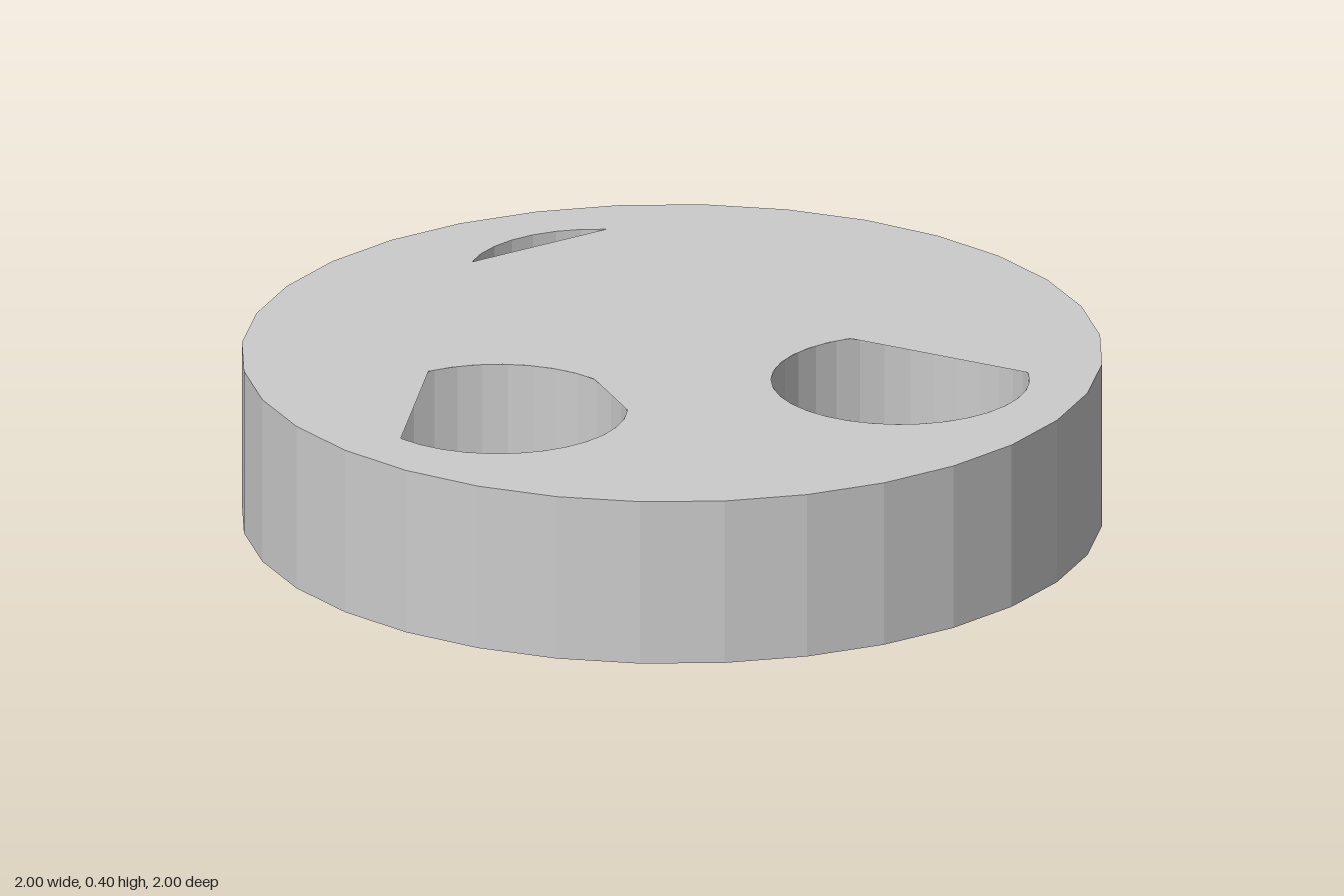
import * as THREE from 'three';

const RADIUS = 1, HEIGHT = 0.4, HOLE_RADIUS = 0.3, SIDES = 32;

// Three round bores. Each opening is a list of arcs (degrees from +x towards +z)
// joined by straight edges; the rest of the bore is covered by the face.
const BORES = [
  { name: 'right', x: -0.5, z: 0.23, top: [[19.6, 157.1], [255.6, 336.1]], bottom: [[19.6, 180]] },
  { name: 'left', x: 0.447, z: 0.335, top: [[9.1, 265.4]], bottom: [[-94.6, 34.3]] },
  { name: 'back', x: 0, z: -0.56, top: [[213.7, 292.5]], bottom: [[247.5, 408.7]] },
];

// Outline points of arcs around a centre, as (x, z * flip)
function outline(cx, cz, r, arcs, flip) {
  const points = [];
  for (const [from, to] of arcs) {
    const steps = Math.max(1, Math.round((to - from) / (360 / SIDES)));
    for (let i = 0; i <= steps; i++) {
      const a = THREE.MathUtils.degToRad(from + ((to - from) * i) / steps);
      points.push(new THREE.Vector2(cx + r * Math.cos(a), flip * (cz + r * Math.sin(a))));
    }
  }
  return points;
}

export function createModel() {
  const group = new THREE.Group();
  group.name = 'piercedDisc';
  const material = new THREE.MeshStandardMaterial({
    color: 0xcccccc, flatShading: true, side: THREE.DoubleSide,
  });
  const add = (name, geometry, x, y, z) => {
    const mesh = new THREE.Mesh(geometry, material);
    mesh.name = name;
    mesh.position.set(x, y, z);
    group.add(mesh);
  };

  // Outer rim
  add('rim', new THREE.CylinderGeometry(RADIUS, RADIUS, HEIGHT, SIDES, 1, true), 0, HEIGHT / 2, 0);

  // Top and bottom faces with their partial openings
  for (const [side, flip, y] of [['top', -1, HEIGHT], ['bottom', 1, 0]]) {
    const rim = outline(0, 0, RADIUS, [[0, 360 - 360 / SIDES]], flip);
    const shape = new THREE.Shape(rim);
    for (const bore of BORES) {
      shape.holes.push(new THREE.Path(outline(bore.x, bore.z, HOLE_RADIUS, bore[side], flip)));
    }
    add(side + 'Face', new THREE.ShapeGeometry(shape).rotateX((flip * Math.PI) / 2), 0, y, 0);
  }

  // Bore walls, turned inwards
  for (const bore of BORES) {
    const wall = new THREE.CylinderGeometry(HOLE_RADIUS, HOLE_RADIUS, HEIGHT, SIDES, 1, true);
    const index = wall.index.array;
    for (let i = 0; i < index.length; i += 3) {
      [index[i], index[i + 1]] = [index[i + 1], index[i]];
    }
    wall.computeVertexNormals();
    add(bore.name + 'BoreWall', wall, bore.x, HEIGHT / 2, bore.z);
  }
  return group;
}
